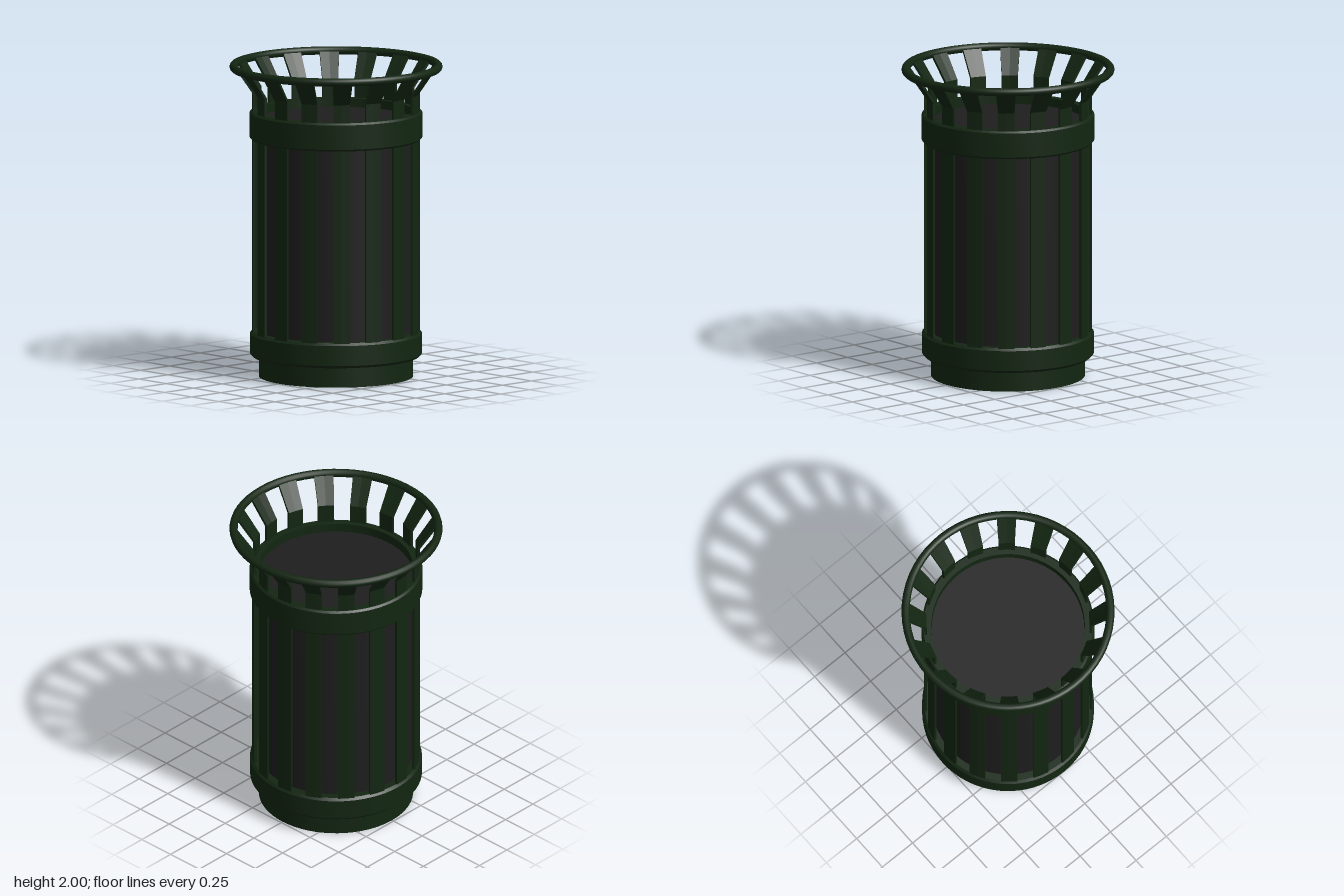
import * as THREE from 'three';
import { mergeGeometries, toCreasedNormals } from 'three/addons/utils/BufferGeometryUtils.js';

const green = new THREE.MeshStandardMaterial({ color: 0x132612 });
const slatGreen = new THREE.MeshStandardMaterial({ color: 0x132612, flatShading: true, side: THREE.DoubleSide });
const charcoal = new THREE.MeshStandardMaterial({ color: 0x1e1e1e });

const SLATS = 16;
const SIDES = 64;
const toPoints = (profile) => profile.map(([r, y]) => new THREE.Vector2(r, y));

// Surface of revolution with crisp profile edges
function turned(name, profile, material) {
  const geometry = toCreasedNormals(new THREE.LatheGeometry(toPoints(profile), SIDES), 0.4);
  const mesh = new THREE.Mesh(geometry, material);
  mesh.name = name;
  return mesh;
}

// Hoop with bevelled outer edges, closed profile
function band(name, bottom, top, inner, outer, bevel) {
  return turned(name, [
    [inner, bottom], [outer - bevel, bottom], [outer, bottom + bevel],
    [outer, top - bevel], [outer - bevel, top], [inner, top], [inner, bottom],
  ], green);
}

// Curved slat: a slice of revolution closed by a flat cap on either edge
function slatGeometry() {
  const profile = [
    [0.515, 0.2], [0.53, 0.2], [0.53, 1.81], [0.642, 1.975],
    [0.624, 1.975], [0.515, 1.815], [0.515, 0.2],
  ];
  const width = Math.PI / SLATS;
  const parts = [new THREE.LatheGeometry(toPoints(profile), 2, 0, width)];
  for (const angle of [0, width]) {
    const cap = new THREE.ShapeGeometry(new THREE.Shape(toPoints(profile.slice(0, -1))));
    parts.push(cap.rotateY(angle - Math.PI / 2));
  }
  return mergeGeometries(parts);
}

export function createModel() {
  const bin = new THREE.Group();
  bin.name = 'litterBin';

  // Plinth, inner liner and hoops
  bin.add(
    turned('base', [[0, 0], [0.487, 0], [0.487, 0.16], [0, 0.16]], green),
    turned('liner', [[0, 0.15], [0.482, 0.15], [0.482, 1.64], [0, 1.64]], charcoal),
    band('lowerBand', 0.13, 0.29, 0.475, 0.542, 0.016),
    band('upperBand', 1.515, 1.695, 0.485, 0.545, 0.012),
  );

  // Ring of slats, flaring outwards at the top
  const slats = new THREE.Group();
  slats.name = 'slats';
  const geometry = slatGeometry();
  for (let i = 0; i < SLATS; i++) {
    const slat = new THREE.Mesh(geometry, slatGreen);
    slat.name = 'slat';
    slat.rotation.y = (i * 2 * Math.PI) / SLATS;
    slats.add(slat);
  }
  bin.add(slats);

  // Rounded rim
  const rim = new THREE.Mesh(new THREE.TorusGeometry(0.646, 0.026, 12, SIDES), green);
  rim.name = 'rim';
  rim.rotation.x = Math.PI / 2;
  rim.position.y = 1.974;
  bin.add(rim);

  return bin;
}
